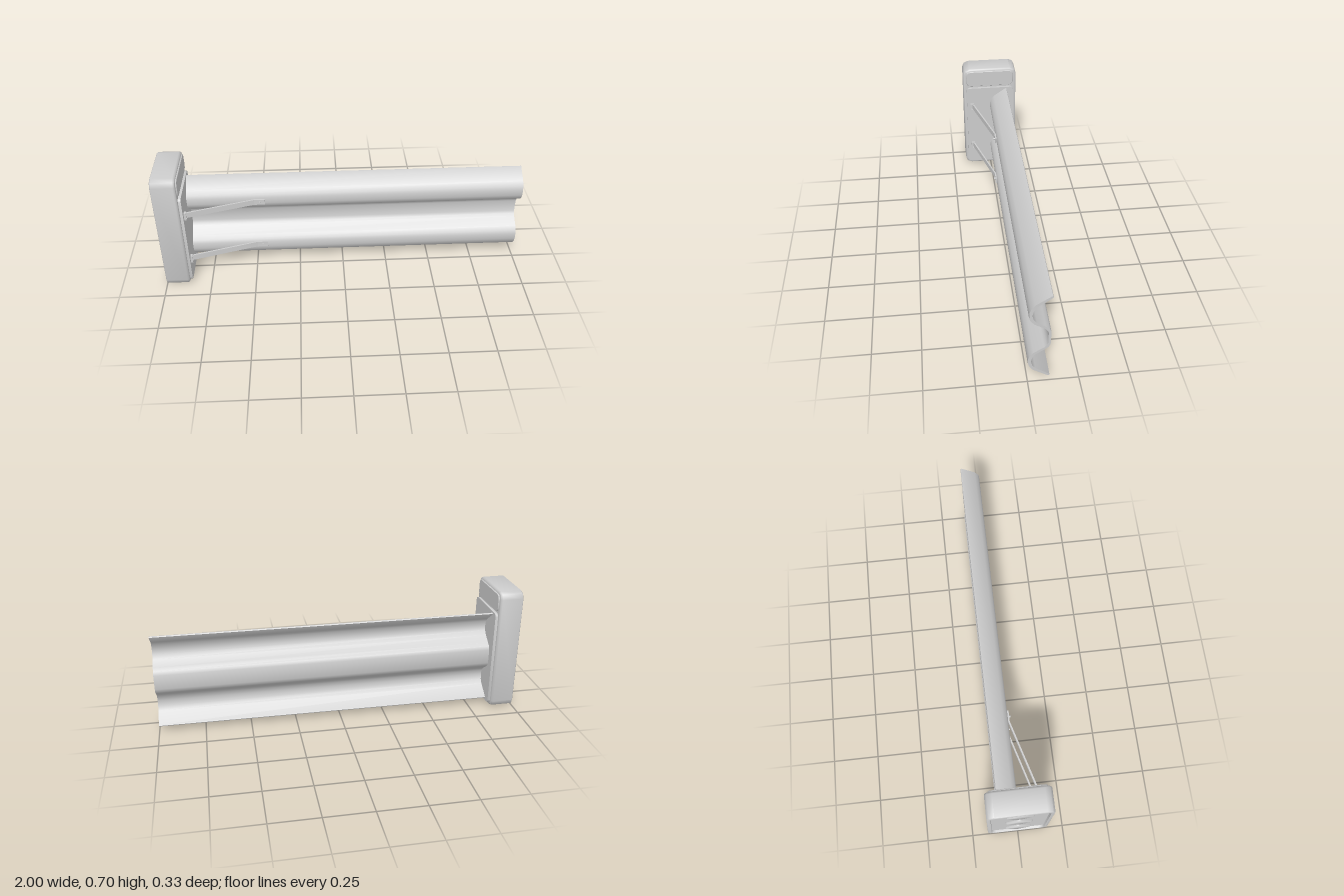
import * as THREE from 'three';
import { toCreasedNormals } from 'three/addons/utils/BufferGeometryUtils.js';

const material = new THREE.MeshStandardMaterial({ color: 0xcccccc });

function add(parent, name, geometry, x = 0, y = 0, z = 0) {
  const mesh = new THREE.Mesh(geometry, material);
  mesh.name = name;
  mesh.position.set(x, y, z);
  parent.add(mesh);
  return mesh;
}

// Rounded rectangle in the z-y plane, two segments per corner
function ring(hz, hy, r) {
  const pts = [];
  [[1, 1], [-1, 1], [-1, -1], [1, -1]].forEach(([sz, sy], q) => {
    for (let k = 0; k <= 2; k++) {
      const a = (q + k / 2) * Math.PI / 2;
      pts.push([sz * (hz - r) + r * Math.cos(a), sy * (hy - r) + r * Math.sin(a)]);
    }
  });
  return pts;
}

// Closed solid through sections [x, halfZ, halfY, cornerRadius], ordered from -x outward to +x
function loft(sections, crease = 0.9) {
  const pos = [], index = [], n = 12, last = (sections.length - 1) * n;
  for (const [x, hz, hy, r] of sections) {
    for (const [z, y] of ring(hz, hy, r)) pos.push(x, y, z);
  }
  for (let s = 0; s < sections.length - 1; s++) {
    for (let j = 0; j < n; j++) {
      const a = s * n + j, b = s * n + (j + 1) % n;
      index.push(a, a + n, b, b, a + n, b + n);
    }
  }
  for (let j = 1; j < n - 1; j++) {
    index.push(0, j, j + 1, last, last + j + 1, last + j);
  }
  const g = new THREE.BufferGeometry();
  g.setAttribute('position', new THREE.Float32BufferAttribute(pos, 3));
  g.setIndex(index);
  return toCreasedNormals(g, crease);
}

// Corrugated rail: half profile [z, y above the middle], mirrored about its centre line
function railGeometry(length) {
  const outer = [[-0.092, 0.035], [-0.085, 0.05], [-0.075, 0.062], [-0.025, 0.095], [-0.007, 0.117],
    [0, 0.136], [0, 0.17], [-0.007, 0.19], [-0.025, 0.216], [-0.098, 0.265]];
  const inner = [[-0.104, 0.255], [-0.036, 0.204], [-0.021, 0.184], [-0.014, 0.153], [-0.02, 0.127],
    [-0.036, 0.105], [-0.077, 0.076], [-0.095, 0.061], [-0.104, 0.04]];
  const tip = [[-0.103, 0.265], [-0.106, 0.26]];
  const half = [...outer, ...tip, ...inner];
  const mirrored = half.map(([z, y]) => [z, -y]).reverse();
  const shape = new THREE.Shape([...half, ...mirrored].map(([z, y]) => new THREE.Vector2(-z, y)));
  const g = new THREE.ExtrudeGeometry(shape, { depth: length, bevelEnabled: false });
  g.rotateY(Math.PI / 2);
  return toCreasedNormals(g, 0.75);
}

// Bent flat strip running from the end plate to the rail
function stayGeometry() {
  const outline = [[-0.858, 0.107], [-0.49, 0.001], [-0.43, 0.001],
    [-0.43, 0.009], [-0.488, 0.009], [-0.858, 0.116]];
  const shape = new THREE.Shape(outline.map(([x, z]) => new THREE.Vector2(x, -z)));
  const g = new THREE.ExtrudeGeometry(shape, { depth: 0.032, bevelEnabled: false });
  g.rotateX(-Math.PI / 2);
  g.translate(0, -0.016, 0);
  return g;
}

export function createModel() {
  const model = new THREE.Group();
  model.name = 'railWithEndBlock';

  // End block with a shallow recess on its outer face
  add(model, 'endBlock', loft([
    [-0.987, 0.143, 0.326, 0.025],
    [-1, 0.146, 0.329, 0.027],
    [-1, 0.161, 0.344, 0.036],
    [-0.996, 0.165, 0.348, 0.038],
    [-0.882, 0.165, 0.348, 0.038],
    [-0.873, 0.161, 0.344, 0.036],
    [-0.87, 0.152, 0.335, 0.03],
  ]), 0, 0.348, 0);

  // Plates on the inner face
  add(model, 'lowerPlate', loft([
    [-0.875, 0.147, 0.275, 0.018],
    [-0.855, 0.147, 0.275, 0.018],
  ]), 0, 0.297, 0);
  add(model, 'upperPanel', loft([
    [-0.875, 0.147, 0.05, 0.024],
    [-0.868, 0.147, 0.05, 0.024],
    [-0.864, 0.144, 0.047, 0.022],
  ]), 0, 0.632, 0);

  // Diamond pads in the recess
  for (let i = -1; i <= 1; i++) {
    const pad = add(model, 'diamondPad', loft([
      [-0.997, 0.05, 0.05, 0.014],
      [-0.994, 0.053, 0.053, 0.015],
      [-0.98, 0.053, 0.053, 0.015],
    ]), 0, 0.348 + i * 0.225, 0);
    pad.rotation.x = Math.PI / 4;
  }

  add(model, 'rail', railGeometry(1.857), -0.857, 0.298, 0);

  // Two braces, each with a bracket, a strip and a bolt
  const stay = stayGeometry();
  for (const y of [0.445, 0.153]) {
    const brace = new THREE.Group();
    brace.name = 'brace';
    brace.position.y = y;
    model.add(brace);
    add(brace, 'strip', stay);
    add(brace, 'bracketWall', new THREE.BoxGeometry(0.014, 0.042, 0.006), -0.85, 0, 0.124);
    for (const s of [-1, 1]) {
      add(brace, 'bracketTab', new THREE.BoxGeometry(0.014, 0.004, 0.022), -0.85, s * 0.019, 0.116);
    }
    const bolt = add(brace, 'bolt', new THREE.CylinderGeometry(0.006, 0.006, 0.018, 8), -0.458, 0, 0.008);
    bolt.rotation.x = Math.PI / 2;
  }
  return model;
}
